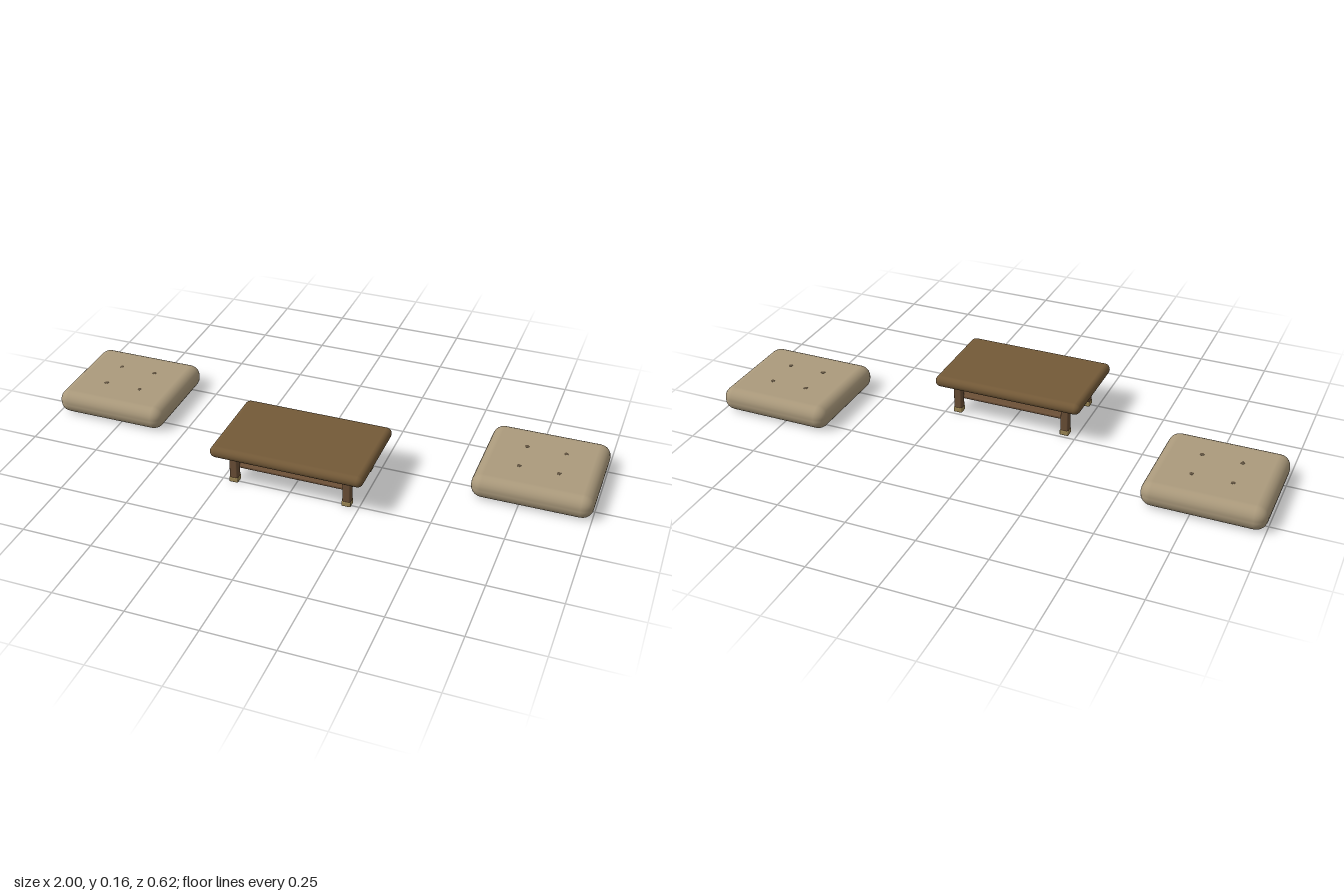
import * as THREE from 'three';
import { RoundedBoxGeometry } from 'three/addons/geometries/RoundedBoxGeometry.js';

const mat = (name, color) => {
  const m = new THREE.MeshStandardMaterial({ color });
  m.name = name;
  return m;
};

export function createModel() {
  const wood = mat('wood', 0x745a38);
  const darkWood = mat('dark wood', 0x6c5037);
  const brass = mat('brass', 0xa08a56);
  const fabric = mat('fabric', 0xab9a7c);
  const buttonFabric = mat('button fabric', 0x5f513e);

  const model = new THREE.Group();
  model.name = 'tableAndCushions';

  const add = (parent, name, geometry, material, x, y, z) => {
    const mesh = new THREE.Mesh(geometry, material);
    mesh.name = name;
    mesh.position.set(x, y, z);
    parent.add(mesh);
    return mesh;
  };

  // Low table: rounded top, thin shelf, four legs with metal feet
  const table = new THREE.Group();
  table.name = 'table';
  table.position.z = 0.137;
  model.add(table);
  add(table, 'tableTop', new RoundedBoxGeometry(0.55, 0.042, 0.346, 3, 0.0205), wood, 0, 0.136, 0);
  add(table, 'shelf', new RoundedBoxGeometry(0.41, 0.013, 0.21, 2, 0.005), darkWood, 0, 0.0565, 0);
  const legGeometry = new RoundedBoxGeometry(0.03, 0.116, 0.03, 2, 0.006);
  const footGeometry = new RoundedBoxGeometry(0.033, 0.02, 0.033, 2, 0.004);
  for (const sx of [-1, 1]) {
    for (const sz of [-1, 1]) {
      add(table, 'leg', legGeometry, darkWood, sx * 0.206, 0.062, sz * 0.11);
      add(table, 'foot', footGeometry, brass, sx * 0.206, 0.01, sz * 0.11);
    }
  }

  // Floor cushions on both sides, each with four tufting buttons
  const padGeometry = new RoundedBoxGeometry(0.42, 0.088, 0.385, 3, 0.04);
  const buttonGeometry = new THREE.SphereGeometry(0.0085, 10, 6);
  for (const side of [-1, 1]) {
    const cushion = new THREE.Group();
    cushion.name = side > 0 ? 'leftCushion' : 'rightCushion';
    cushion.position.set(side * 0.79, 0, -0.117);
    model.add(cushion);
    add(cushion, 'pad', padGeometry, fabric, 0, 0.044, 0);
    for (const sx of [-1, 1]) {
      for (const sz of [-1, 1]) {
        const button = add(cushion, 'button', buttonGeometry, buttonFabric, sx * 0.069, 0.087, sz * 0.063);
        button.scale.y = 0.4;
      }
    }
  }

  return model;
}
